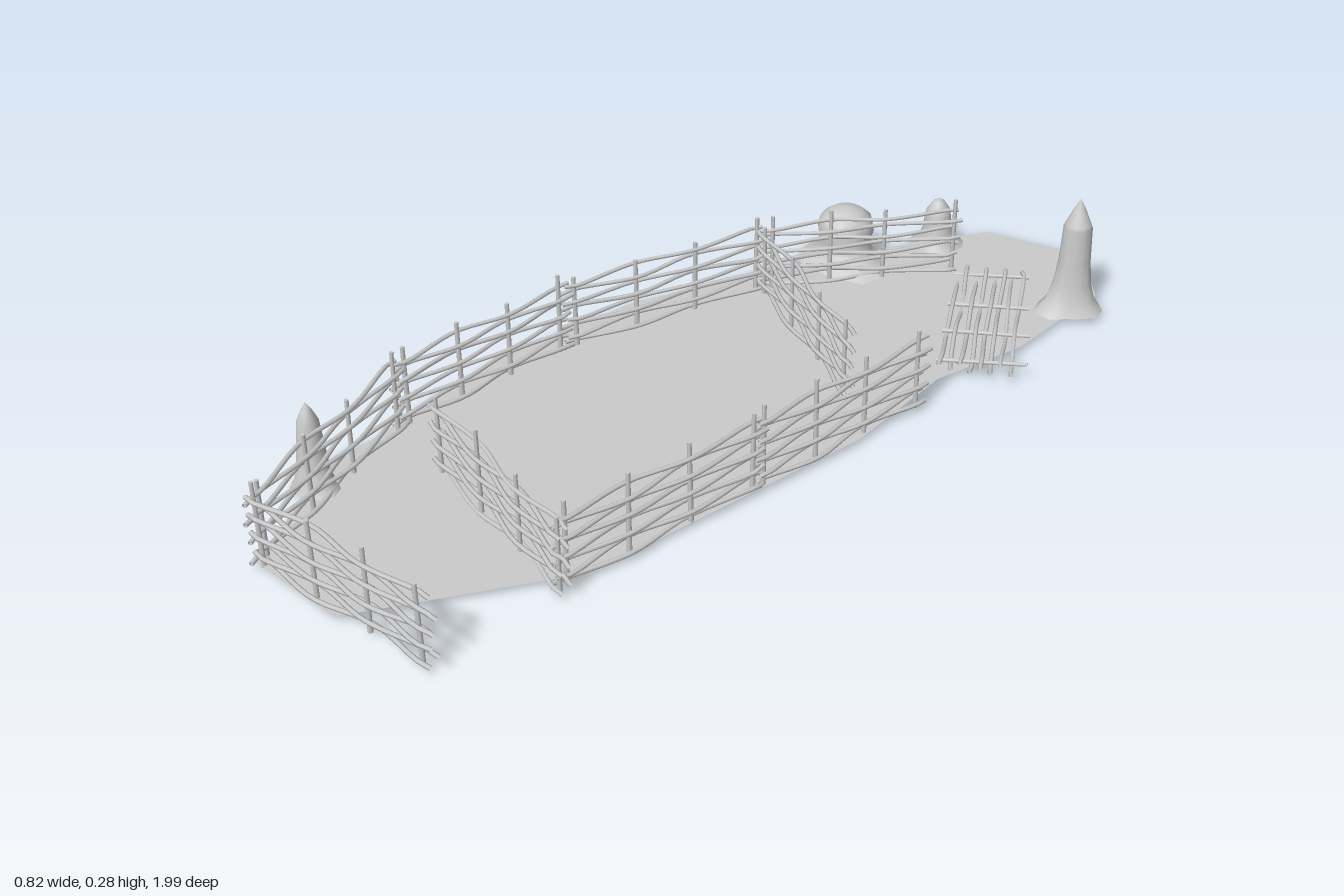
import * as THREE from 'three';
import { mergeGeometries, mergeVertices } from 'three/addons/utils/BufferGeometryUtils.js';

const material = new THREE.MeshStandardMaterial({ color: 0xcccccc, side: THREE.DoubleSide });
const GROUND = 0.016;

// Small seeded generator for the natural irregularity of the sticks
let seed = 7;
function jitter(amount) {
  seed = (seed * 16807) % 2147483647;
  return (seed / 2147483647 - 0.5) * 2 * amount;
}

function mesh(name, geometry) {
  const m = new THREE.Mesh(geometry, material);
  m.name = name;
  return m;
}

// One woven panel along local +x: upright posts with rails passing alternately on each side
function wovenPanel(name, length) {
  const group = new THREE.Group();
  group.name = name;
  const postX = [0.03, 0.36, 0.66, 0.96].map((t) => t * length + jitter(0.008));

  const posts = postX.map((x) => {
    const height = 0.178 + jitter(0.012);
    return new THREE.CylinderGeometry(0.0045, 0.0055, height, 6)
      .rotateZ(jitter(0.02))
      .translate(x, height / 2, 0);
  });
  group.add(mesh('posts', mergeGeometries(posts)));

  const rails = [];
  for (let i = 0; i < 8; i++) {
    const y = 0.01 + i * 0.0205;
    const side = i % 2 ? 1 : -1;
    const points = [new THREE.Vector3(-0.008 + jitter(0.008), y + jitter(0.003), side * 0.006)];
    postX.forEach((x, k) => {
      points.push(new THREE.Vector3(x, y + jitter(0.003), (k % 2 ? -side : side) * 0.0095));
    });
    points.push(new THREE.Vector3(length + 0.008 + jitter(0.008), y + jitter(0.003), -side * 0.006));
    rails.push(new THREE.TubeGeometry(new THREE.CatmullRomCurve3(points), 18, 0.0047, 6));
  }
  group.add(mesh('rails', mergeGeometries(rails)));
  return group;
}

// Standing panel between two ground points [x, z]
function standingPanel(name, [ax, az], [bx, bz]) {
  const panel = wovenPanel(name, Math.hypot(bx - ax, bz - az));
  panel.position.set(ax, 0.012, az);
  panel.rotation.y = -Math.atan2(bz - az, bx - ax);
  return panel;
}

// Weathered stone: a turned profile whose foot spreads unevenly
function stone(name, x, z, profile, spread, phase) {
  const points = profile.map(([r, y]) => new THREE.Vector2(r, y));
  let geometry = new THREE.LatheGeometry(points, 12);
  geometry.deleteAttribute('uv');
  geometry.deleteAttribute('normal');
  geometry = mergeVertices(geometry, 1e-5);
  const p = geometry.attributes.position;
  const top = profile[profile.length - 1][1];
  for (let i = 0; i < p.count; i++) {
    const a = Math.atan2(p.getZ(i), p.getX(i));
    const foot = Math.pow(1 - p.getY(i) / top, 3);
    const k = 1 + spread * foot * (Math.sin(2 * a + phase) * 0.6 + Math.sin(3 * a + phase * 2) * 0.6);
    p.setX(i, p.getX(i) * k);
    p.setZ(i, p.getZ(i) * k);
  }
  geometry.computeVertexNormals();
  const m = mesh(name, geometry);
  m.position.set(x, GROUND, z);
  return m;
}

export function createModel() {
  seed = 7;
  const model = new THREE.Group();
  model.name = 'woodenEnclosure';

  // Flat ground patch
  const outline = [
    [0.2, -1], [0.33, -0.87], [0.345, -0.58], [0.3, -0.36], [0.33, -0.08], [0.28, 0.43], [0.25, 0.6],
    [0.04, 0.97], [-0.19, 0.98], [-0.34, 0.67], [-0.405, 0.23], [-0.37, -0.13], [-0.235, -0.47],
    [-0.13, -0.72], [-0.02, -0.93],
  ].map(([x, z]) => new THREE.Vector2(x, -z));
  const ground = mesh('ground', new THREE.ShapeGeometry(new THREE.Shape(outline)).rotateX(-Math.PI / 2));
  ground.position.y = GROUND;
  model.add(ground);

  // Fence runs, one panel between each pair of points
  const runs = {
    longFence: [[0.035, -0.735], [-0.215, -0.37], [-0.335, 0.1], [-0.345, 0.53], [-0.18, 0.975]],
    frontFence: [[-0.18, 0.975], [0.265, 0.93]],
    rearDivider: [[-0.215, -0.365], [0.21, -0.18]],
    sideFence: [[0.33, -0.27], [0.297, 0.17], [0.257, 0.635]],
    frontDivider: [[-0.18, 0.567], [0.275, 0.645]],
  };
  for (const [name, points] of Object.entries(runs)) {
    for (let i = 0; i < points.length - 1; i++) {
      model.add(standingPanel(name + (i + 1), points[i], points[i + 1]));
    }
  }

  // Panel that has fallen flat
  const fallen = wovenPanel('fallenPanel', 0.42);
  const along = new THREE.Vector3(0.55, 0.03, 0.83).normalize();
  const normal = along.clone().cross(new THREE.Vector3(0.83, 0.05, -0.55)).normalize();
  const across = normal.clone().cross(along);
  fallen.quaternion.setFromRotationMatrix(new THREE.Matrix4().makeBasis(along, across, normal));
  fallen.position.set(0.04, 0.015, -0.735);
  model.add(fallen);

  // Standing stones and boulder
  model.add(
    stone('tallStone', 0.318, -0.79, [[0.068, 0], [0.05, 0.025], [0.04, 0.065], [0.034, 0.12],
      [0.031, 0.2], [0.028, 0.208], [0.013, 0.243], [0, 0.268]], 0.25, 4),
    stone('frontStone', -0.305, 0.765, [[0.05, 0], [0.038, 0.02], [0.031, 0.06], [0.025, 0.11],
      [0.021, 0.148], [0.011, 0.17], [0, 0.189]], 0.2, 1),
    stone('smallStone', -0.068, -0.8, [[0.055, 0], [0.042, 0.015], [0.033, 0.04], [0.03, 0.075],
      [0.027, 0.092], [0.013, 0.113], [0, 0.122]], 0.25, 2.5),
    stone('boulder', -0.178, -0.605, [[0.108, 0], [0.085, 0.012], [0.066, 0.03], [0.06, 0.055],
      [0.065, 0.08], [0.058, 0.105], [0.036, 0.122], [0, 0.13]], 0.22, 0.5),
  );
  return model;
}
